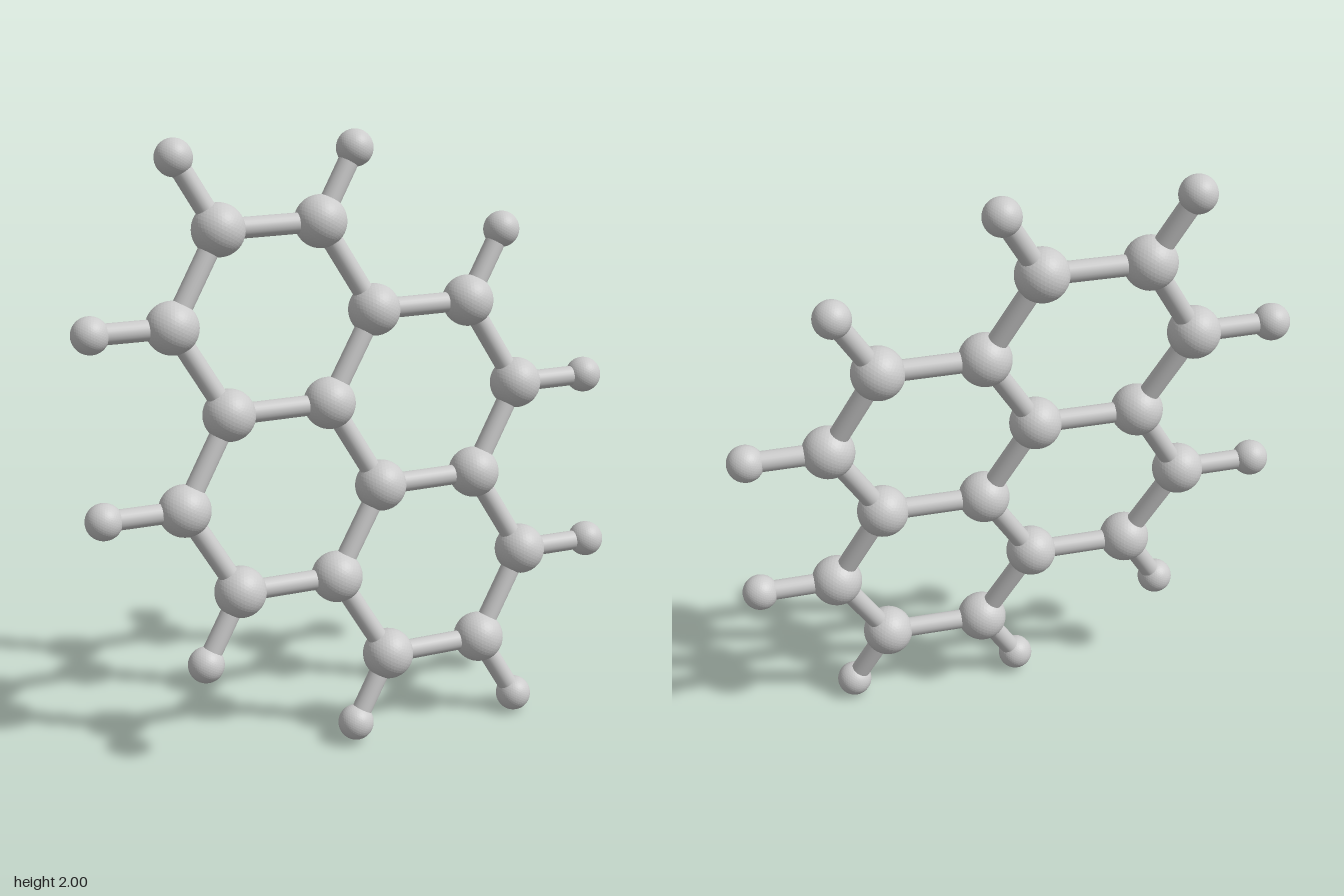
import * as THREE from 'three';

// Half of the atoms as [x, y] offsets from the centre; the rest follow by point symmetry
const RING = [[-0.366, 0.717], [-0.043, 0.716], [-0.541, 0.435], [0.105, 0.425],
  [-0.397, 0.147], [-0.072, 0.145], [0.425, 0.422], [0.57, 0.134]];
const OUTER = [[-0.477, 0.941], [0.09, 0.932], [-0.788, 0.439], [0.561, 0.641], [0.819, 0.131]];
const RING_RADIUS = 0.084, OUTER_RADIUS = 0.059, BOND_RADIUS = 0.033, BOND_REACH = 0.4;

// All atoms lie in one tilted plane
const place = (list) => list.flatMap(([x, y]) => [1, -1].map((s) =>
  new THREE.Vector3(s * x, 1 + s * y, s * (0.264 * x - 0.158 * y))));

export function createModel() {
  const model = new THREE.Group();
  model.name = 'molecule';
  const ballMaterial = new THREE.MeshStandardMaterial({ color: 0xcccccc, flatShading: true });
  const bondMaterial = new THREE.MeshStandardMaterial({ color: 0xcccccc });

  // Atoms: faceted balls, large in the rings and small at the rim
  const addAtoms = (name, points, radius) => {
    const group = new THREE.Group();
    group.name = name;
    const ball = new THREE.IcosahedronGeometry(radius, 7);
    for (const p of points) {
      const mesh = new THREE.Mesh(ball, ballMaterial);
      mesh.name = 'atom';
      mesh.position.copy(p);
      group.add(mesh);
    }
    model.add(group);
  };
  const ring = place(RING), outer = place(OUTER);
  addAtoms('ringAtoms', ring, RING_RADIUS);
  addAtoms('outerAtoms', outer, OUTER_RADIUS);

  // Bonds: a rod between every pair of neighbouring atoms
  const bonds = new THREE.Group();
  bonds.name = 'bonds';
  const rod = new THREE.CylinderGeometry(BOND_RADIUS, BOND_RADIUS, 1, 24);
  const up = new THREE.Vector3(0, 1, 0);
  const atoms = [...ring, ...outer];
  atoms.forEach((a, i) => atoms.slice(i + 1).forEach((b) => {
    const length = a.distanceTo(b);
    if (length > BOND_REACH) return;
    const mesh = new THREE.Mesh(rod, bondMaterial);
    mesh.name = 'bond';
    mesh.position.lerpVectors(a, b, 0.5);
    mesh.quaternion.setFromUnitVectors(up, b.clone().sub(a).normalize());
    mesh.scale.y = length;
    bonds.add(mesh);
  }));
  model.add(bonds);
  return model;
}
